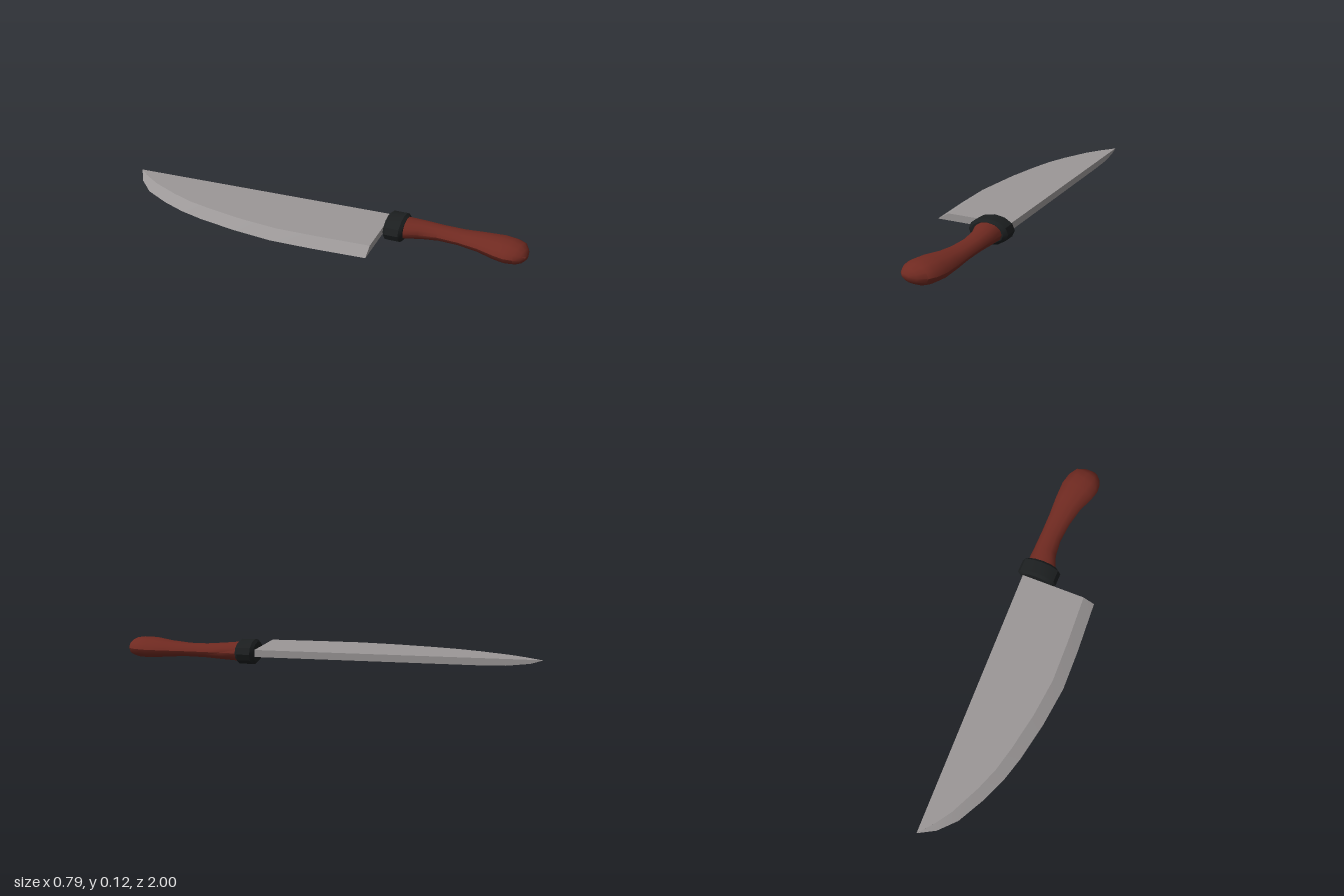
import * as THREE from 'three';
import { toCreasedNormals } from 'three/addons/utils/BufferGeometryUtils.js';

// Skin over rings of points [x, y, z], ordered towards +z, with both ends capped
function loft(rings, crease) {
  const n = rings[0].length;
  const points = rings.flat();
  const index = [];
  for (let i = 0; i < rings.length - 1; i++) {
    for (let j = 0; j < n; j++) {
      const a = i * n + j, b = i * n + (j + 1) % n;
      index.push(a, b, a + n, b, b + n, a + n);
    }
  }
  const last = (rings.length - 1) * n;
  for (let j = 1; j < n - 1; j++) {
    index.push(0, j + 1, j, last, last + j, last + j + 1);
  }
  const g = new THREE.BufferGeometry();
  g.setAttribute('position', new THREE.Float32BufferAttribute(points.flat(), 3));
  g.setIndex(index);
  return toCreasedNormals(g, crease);
}

// Elliptical ring between a left and a right point in plan
function oval(lx, lz, rx, rz, h, sides = 12, y = 0.065) {
  const ring = [];
  for (let i = 0; i < sides; i++) {
    const a = (i / sides) * Math.PI * 2;
    const k = Math.cos(a) / 2;
    ring.push([(lx + rx) / 2 + k * (rx - lx), y + h * Math.sin(a), (lz + rz) / 2 + k * (rz - lz)]);
  }
  return ring;
}

export function createModel() {
  const steel = new THREE.MeshStandardMaterial({ name: 'steel', color: 0x9b9797 });
  const wood = new THREE.MeshStandardMaterial({ name: 'redWood', color: 0x702a21 });
  const black = new THREE.MeshStandardMaterial({ name: 'blackCollar', color: 0x1c1f20 });

  const model = new THREE.Group();
  model.name = 'kitchenKnife';
  const add = (name, geometry, material) => {
    const mesh = new THREE.Mesh(geometry, material);
    mesh.name = name;
    model.add(mesh);
  };

  // Blade, tip to heel: cutting edge x, z; bevel top x, z; position along spine; underside y
  const top = 0.085;
  const bladeRings = [
    [-0.26, -1.0, -0.26, -1.0, 0, 0.083],
    [-0.32, -0.93, -0.295, -0.91, 0.04, 0.066],
    [-0.365, -0.83, -0.32, -0.82, 0.12, 0.053],
    [-0.39, -0.68, -0.34, -0.66, 0.22, 0.05],
    [-0.4, -0.55, -0.345, -0.54, 0.32, 0.05],
    [-0.395, -0.42, -0.335, -0.41, 0.42, 0.05],
    [-0.37, -0.22, -0.31, -0.22, 0.56, 0.05],
    [-0.33, -0.02, -0.27, -0.03, 0.7, 0.05],
    [-0.26, 0.18, -0.2, 0.17, 0.84, 0.05],
    [-0.165, 0.425, -0.11, 0.407, 1, 0.05],
  ].map(([ex, ez, tx, tz, t, y]) => {
    const sx = -0.26 + 0.46 * t, sz = -1 + 1.305 * t;
    return [[sx, y, sz], [sx, top, sz], [tx, top, tz], [ex, y, ez]];
  });
  add('blade', loft(bladeRings, 0.4), steel);

  // Collar, a short rounded band set square to the handle
  const collarRings = [
    [-0.046, 0.082, 0.05], [-0.032, 0.102, 0.062], [0.034, 0.102, 0.062], [0.048, 0.084, 0.05],
  ].map(([t, w, h]) => {
    const x = 0.15 + 0.31 * t, z = 0.373 + 0.95 * t;
    return oval(x - 0.95 * w, z + 0.31 * w, x + 0.95 * w, z - 0.31 * w, h);
  });
  add('collar', loft(collarRings, 0.55), black);

  // Handle: left x, z; right x, z; half height
  const handleRings = [
    [0.085, 0.42, 0.23, 0.37, 0.05],
    [0.145, 0.5, 0.26, 0.47, 0.042],
    [0.18, 0.58, 0.287, 0.56, 0.035],
    [0.204, 0.68, 0.32, 0.66, 0.034],
    [0.215, 0.78, 0.358, 0.76, 0.042],
    [0.21, 0.87, 0.387, 0.85, 0.052],
    [0.212, 0.92, 0.393, 0.91, 0.052],
    [0.228, 0.96, 0.384, 0.95, 0.045],
    [0.25, 0.985, 0.35, 0.98, 0.03],
    [0.275, 1.0, 0.315, 0.996, 0.01],
  ].map((r) => oval(...r));
  add('handle', loft(handleRings, 0.75), wood);

  return model;
}
